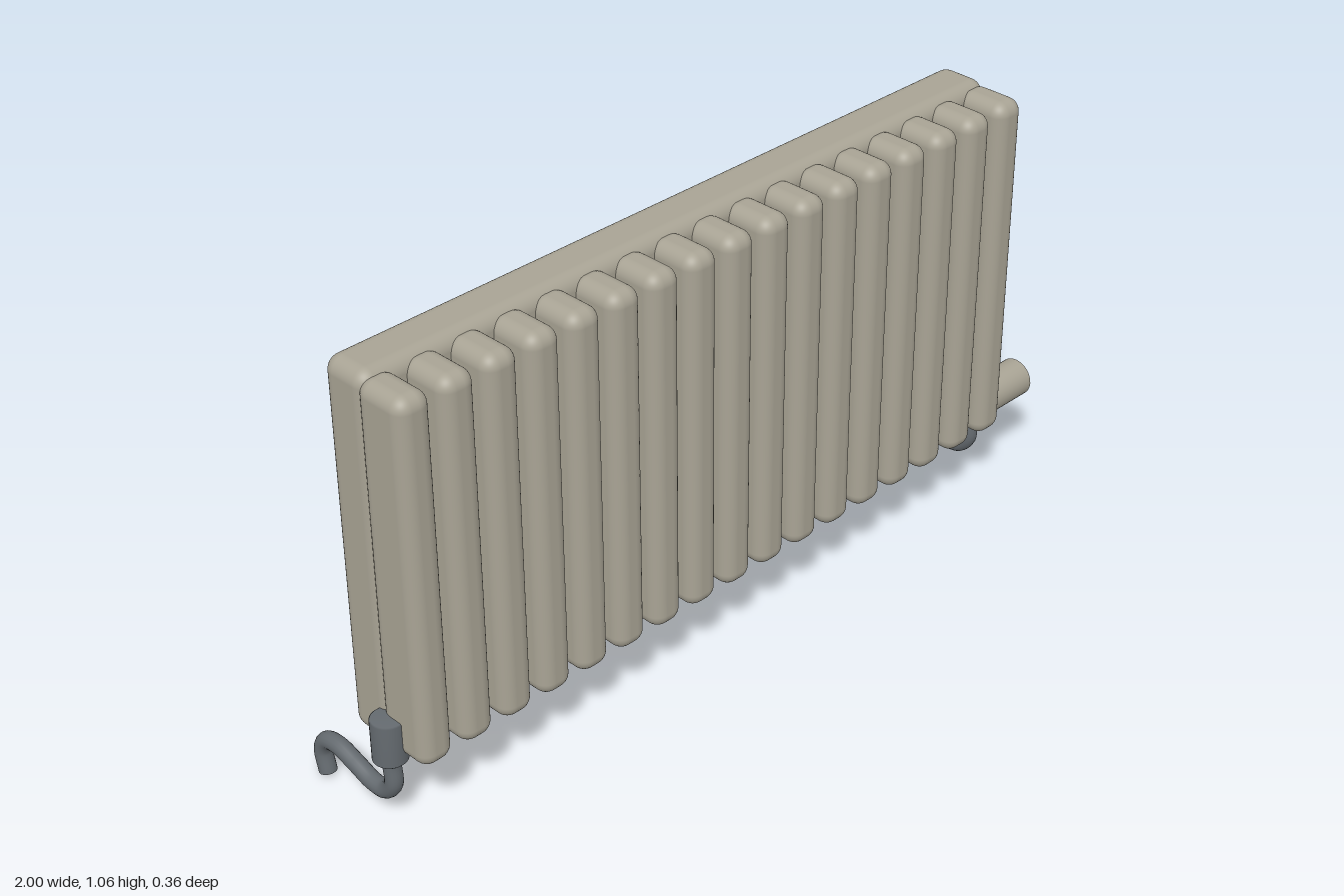
import * as THREE from 'three';
import { RoundedBoxGeometry } from 'three/addons/geometries/RoundedBoxGeometry.js';

const enamel = new THREE.MeshStandardMaterial({ color: 0xa8a394 });
enamel.name = 'warm grey enamel';
const steel = new THREE.MeshStandardMaterial({ color: 0x646a6f });
steel.name = 'dark steel';

function addMesh(parent, name, geometry, material, x = 0, y = 0, z = 0) {
  const mesh = new THREE.Mesh(geometry, material);
  mesh.name = name;
  mesh.position.set(x, y, z);
  parent.add(mesh);
  return mesh;
}

// Closed cylinder standing on its base, with a small eased edge
function turned(radius, length, edge) {
  const profile = [
    [0, 0], [radius - edge, 0], [radius, edge],
    [radius, length - edge], [radius - edge, length], [0, length],
  ];
  return new THREE.LatheGeometry(profile.map(([r, y]) => new THREE.Vector2(r, y)), 32);
}

// Vertical valve with an S-bent pipe running down to the floor behind
function createValve(name, x) {
  const valve = new THREE.Group();
  valve.name = name;
  valve.position.x = x;
  addMesh(valve, 'valveBody', turned(0.038, 0.105, 0.003), steel, 0, 0.165, 0.075);

  const path = new THREE.CatmullRomCurve3([
    [0.2, 0.075], [0.15, 0.077], [0.1, 0.078], [0.068, 0.05], [0.064, 0.01],
    [0.08, -0.045], [0.094, -0.1], [0.085, -0.14], [0.055, -0.157], [0, -0.147],
  ].map(([y, z]) => new THREE.Vector3(0, y, z)));
  addMesh(valve, 'pipe', new THREE.TubeGeometry(path, 64, 0.02, 16), steel);
  const cap = addMesh(valve, 'pipeEnd', new THREE.CircleGeometry(0.02, 16), steel, 0, 0.001, -0.147);
  cap.rotation.x = Math.PI / 2;
  return valve;
}

export function createModel() {
  const radiator = new THREE.Group();
  radiator.name = 'radiator';

  // Back panel
  addMesh(radiator, 'backPanel', new RoundedBoxGeometry(1.8, 0.885, 0.127, 5, 0.034),
    enamel, -0.055, 0.6175, 0.0085);

  // Row of front columns
  const columns = new THREE.Group();
  columns.name = 'columns';
  radiator.add(columns);
  const columnShape = new RoundedBoxGeometry(0.083, 0.87, 0.135, 5, 0.032);
  for (let i = 0; i < 17; i++) {
    addMesh(columns, 'column', columnShape, enamel, -0.917 + i * 0.1075, 0.615, 0.1125);
  }

  // Valves at both ends, and the control knob on the left one
  radiator.add(createValve('rightValve', -0.963));
  radiator.add(createValve('leftValve', 0.85));
  const knob = addMesh(radiator, 'controlKnob', turned(0.047, 0.145, 0.003), enamel, 0.855, 0.217, 0.097);
  knob.rotation.z = -Math.PI / 2;

  return radiator;
}
